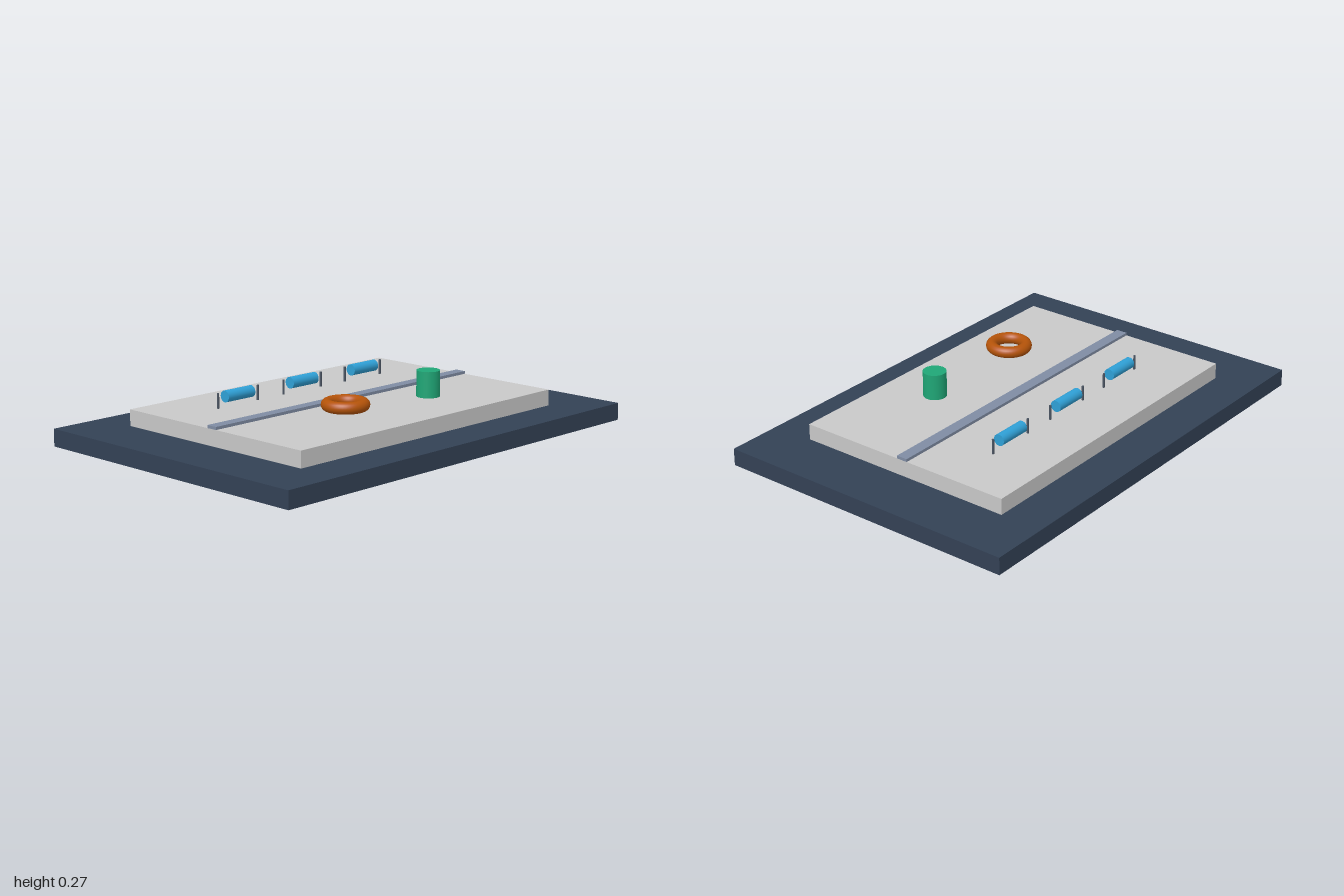
import * as THREE from 'three';

const mat = (name, color) => {
  const m = new THREE.MeshStandardMaterial({ color });
  m.name = name;
  return m;
};

export function createModel() {
  const group = new THREE.Group();
  const slate = mat('dark slate', 0x334155);
  const grey = mat('board grey', 0xc8c8c8);
  const steel = mat('steel blue grey', 0x7f8ca3);
  const blue = mat('resistor blue', 0x2fa0d6);
  const lead = mat('lead grey', 0x4b5563);
  const copper = mat('copper', 0xb45309);
  const green = mat('capacitor green', 0x1fa676);

  const add = (name, geometry, material, x, y, z, parent = group) => {
    const mesh = new THREE.Mesh(geometry, material);
    mesh.name = name;
    mesh.position.set(x, y, z);
    parent.add(mesh);
    return mesh;
  };

  // Base plate, raised board and the rail across its middle
  add('basePlate', new THREE.BoxGeometry(2, 0.075, 1.375), slate, 0, 0.0375, 0);
  add('board', new THREE.BoxGeometry(1.5, 0.07, 1), grey, 0, 0.11, 0);
  add('centreRail', new THREE.BoxGeometry(1.5, 0.0125, 0.05), steel, 0, 0.15125, 0);

  // Row of resistors, each with a standing pin beyond either end
  const body = new THREE.CylinderGeometry(0.025, 0.025, 0.15, 32).rotateZ(Math.PI / 2);
  const pin = new THREE.CylinderGeometry(0.005, 0.005, 0.065, 12);
  for (const x of [-0.375, 0, 0.375]) {
    const resistor = new THREE.Group();
    resistor.name = 'resistor';
    resistor.position.set(x, 0, -0.25);
    group.add(resistor);
    add('resistorBody', body, blue, 0, 0.19, 0, resistor);
    for (const side of [-1, 1]) add('resistorPin', pin, lead, side * 0.1125, 0.1775, 0, resistor);
  }

  // Ring coil and upright capacitor at the front
  add('coil', new THREE.TorusGeometry(0.075, 0.025, 20, 48).rotateX(Math.PI / 2), copper, -0.25, 0.203, 0.25);
  add('capacitor', new THREE.CylinderGeometry(0.05, 0.05, 0.1125, 32), green, 0.25, 0.214, 0.25);

  return group;
}
